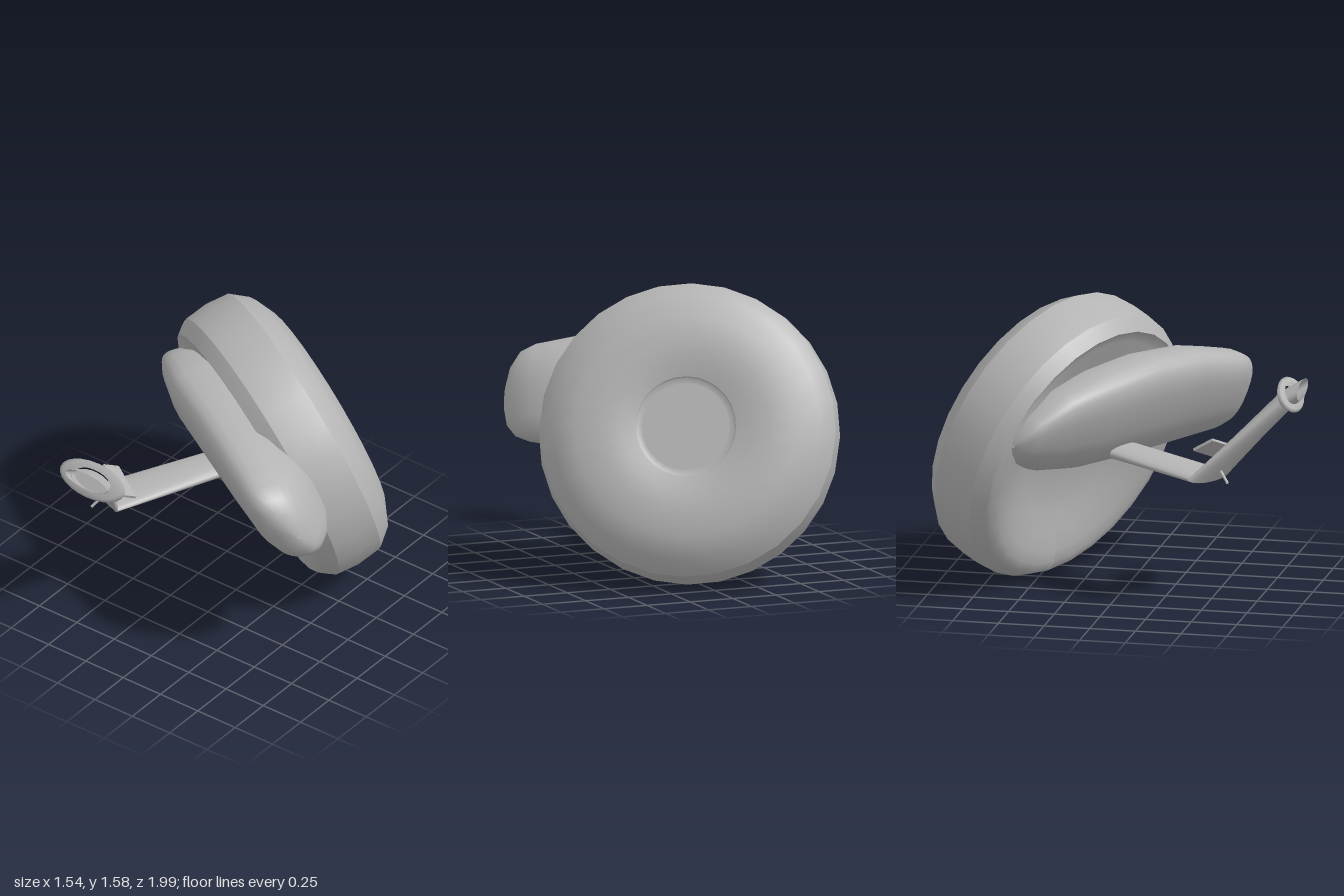
import * as THREE from 'three';

const V = (x, y, z) => new THREE.Vector3(x, y, z);
const grey = new THREE.MeshStandardMaterial({ color: 0xb4b4b4, side: THREE.DoubleSide });
grey.name = 'plain grey';

function part(name, geometry, parent) {
  const mesh = new THREE.Mesh(geometry, grey);
  mesh.name = name;
  parent.add(mesh);
  return mesh;
}

// Skin a list of closed rings; rings run counterclockwise about the direction of travel
function loft(rings) {
  const n = rings[0].length, index = [];
  for (let i = 0; i < rings.length - 1; i++) {
    for (let j = 0; j < n; j++) {
      const k = (j + 1) % n;
      const a = i * n + j, b = i * n + k, c = a + n, d = b + n;
      index.push(a, b, c, b, d, c);
    }
  }
  const g = new THREE.BufferGeometry().setFromPoints(rings.flat());
  g.setIndex(index);
  g.computeVertexNormals();
  return g;
}

// Ring with half axes u and v; power below 1 squares it off
function ring(center, u, v, sides = 20, power = 1) {
  const bend = c => Math.sign(c) * Math.abs(c) ** power;
  return Array.from({ length: sides }, (_, j) => {
    const t = (j / sides) * Math.PI * 2;
    return center.clone().addScaledVector(u, bend(Math.cos(t))).addScaledVector(v, bend(Math.sin(t)));
  });
}

const lathe = (pts, sides) => new THREE.LatheGeometry(pts.map(p => new THREE.Vector2(...p)), sides);

// Place a part so its local y runs along the given axis
function orient(object, x, y, position) {
  const z = x.clone().cross(y).normalize();
  object.setRotationFromMatrix(new THREE.Matrix4().makeBasis(x, y, z));
  object.position.copy(position);
}

// Hollow the upper part of the wheel front, behind the pod
function hollowTop(geometry) {
  const p = geometry.attributes.position;
  for (let i = 0; i < p.count; i++) {
    const r = Math.hypot(p.getX(i), p.getZ(i));
    if (r > 0.735) continue;
    const w = THREE.MathUtils.smoothstep(-p.getZ(i) / r, 0.35, 0.85);
    p.setY(i, THREE.MathUtils.lerp(p.getY(i), 0.085 + 0.14 * r, w));
  }
  geometry.computeVertexNormals();
  return geometry;
}

// Big tilted wheel, built in sections so their shared rims stay crisp
function makeWheel() {
  const wheel = new THREE.Group();
  wheel.name = 'wheel';
  const sections = {
    backHubFloor: [[0, -0.248], [0.235, -0.248]],
    backHubWall: [[0.235, -0.248], [0.262, -0.25], [0.27, -0.262]],
    backFace: [[0.27, -0.262], [0.35, -0.28], [0.45, -0.29], [0.6, -0.278], [0.72, -0.222], [0.795, -0.13]],
    rimBand: [[0.795, -0.13], [0.808, 0], [0.795, 0.13]],
    frontShoulder: [[0.795, 0.13], [0.775, 0.16], [0.74, 0.205]],
    frontHub: [[0.35, 0.135], [0.25, 0.11], [0.12, 0.1], [0, 0.1]],
  };
  for (const [name, pts] of Object.entries(sections)) part(name, lathe(pts, 28), wheel);
  const face = [[0.74, 0.205], [0.72, 0.222], [0.67, 0.232], [0.6, 0.22], [0.5, 0.185], [0.42, 0.155], [0.35, 0.135]];
  part('frontFace', hollowTop(lathe(face, 28)), wheel);
  const axis = V(-0.44, -0.34, 0.83).normalize();
  const across = V(0, 1, 0).cross(axis).normalize();
  orient(wheel, across, axis, V(0, 0.79, -0.41));
  return wheel;
}

// Long rounded pod lying across the wheel front, leaning forward at the top
function makePod() {
  const along = V(0.87, 0, 0.49), out = V(-0.49, 0, 0.87), lean = 0.46;
  const stations = [
    // distance along, bottom, top, half depth, offset outwards
    [-0.88, 0.9, 0.92, 0.01, -0.03], [-0.86, 0.85, 0.98, 0.06, -0.03], [-0.8, 0.79, 1.06, 0.12, -0.04],
    [-0.62, 0.71, 1.17, 0.19, -0.06], [-0.35, 0.67, 1.24, 0.23, -0.05], [0, 0.66, 1.27, 0.24, -0.05],
    [0.35, 0.67, 1.245, 0.24, -0.04], [0.55, 0.68, 1.2, 0.22, -0.02], [0.68, 0.69, 1.17, 0.19, 0.01],
    [0.76, 0.71, 1.13, 0.145, 0.03], [0.81, 0.76, 1.05, 0.09, 0.03], [0.832, 0.84, 0.95, 0.03, 0.03],
    [0.835, 0.89, 0.9, 0.004, 0.03],
  ];
  const pod = new THREE.Group();
  pod.name = 'podAssembly';
  part('pod', loft(stations.map(([s, low, high, depth, shift]) => {
    const mid = (low + high) / 2, half = (high - low) / 2;
    const c = along.clone().multiplyScalar(s).addScaledVector(out, shift + lean * (mid - 0.96)).setY(mid);
    const up = V(0, 1, 0).addScaledVector(out, lean).multiplyScalar(half);
    return ring(c, up, out.clone().multiplyScalar(depth), 28, 0.8);
  })), pod);
  return pod;
}

// Flat bent arm ending in a flanged open spout
function makeArm() {
  const arm = new THREE.Group();
  arm.name = 'arm';
  const neckCenter = V(-0.265, 1.13, 0.915);
  const root = ring(V(-0.15, 0.76, 0), V(0.093, 0, 0.058), V(0, 0.045, 0));
  const elbow = ring(V(-0.44, 0.725, 0.525), V(0.108, 0, 0.085), V(0.009, 0.028, -0.012));
  const neck = ring(neckCenter, V(0.125, 0, 0.01), V(0, 0.038, -0.035));
  const mouth = ring(V(-0.25, 1.183, 0.998), V(0.14, 0, 0), V(0, 0.052, 0));
  part('lowerArm', loft([root, elbow]), arm);
  part('upperArm', loft([elbow, neck]), arm);
  part('spoutFloor', loft([neck, ring(neckCenter, V(0, 0, 0), V(0, 0, 0))]), arm);
  part('spoutTube', loft([neck, mouth]), arm);

  const flange = part('flange',
    lathe([[0.13, -0.02], [0.18, -0.018], [0.215, 0], [0.19, 0.012], [0.13, 0.015]], 24), arm);
  orient(flange, V(1, 0, 0), V(0, 0.57, 0.82).normalize(), V(-0.255, 1.152, 0.935));
  flange.scale.z = 0.45;

  // Tilted plate above the elbow
  const plate = part('elbowPlate', new THREE.BoxGeometry(0.21, 0.015, 0.13), arm);
  const px = V(0.18, -0.08, 0.08).normalize();
  const py = V(-0.015, 0.065, 0.11).cross(px).normalize();
  orient(plate, px, py, V(-0.375, 0.865, 0.54));

  // Small pin below the elbow
  const pin = new THREE.LineCurve3(V(-0.45, 0.76, 0.595), V(-0.485, 0.705, 0.64));
  part('elbowPin', new THREE.TubeGeometry(pin, 1, 0.008, 8), arm);
  return arm;
}

export function createModel() {
  const model = new THREE.Group();
  model.name = 'wheelWithPodAndArm';
  model.add(makeWheel(), makePod(), makeArm());
  return model;
}
